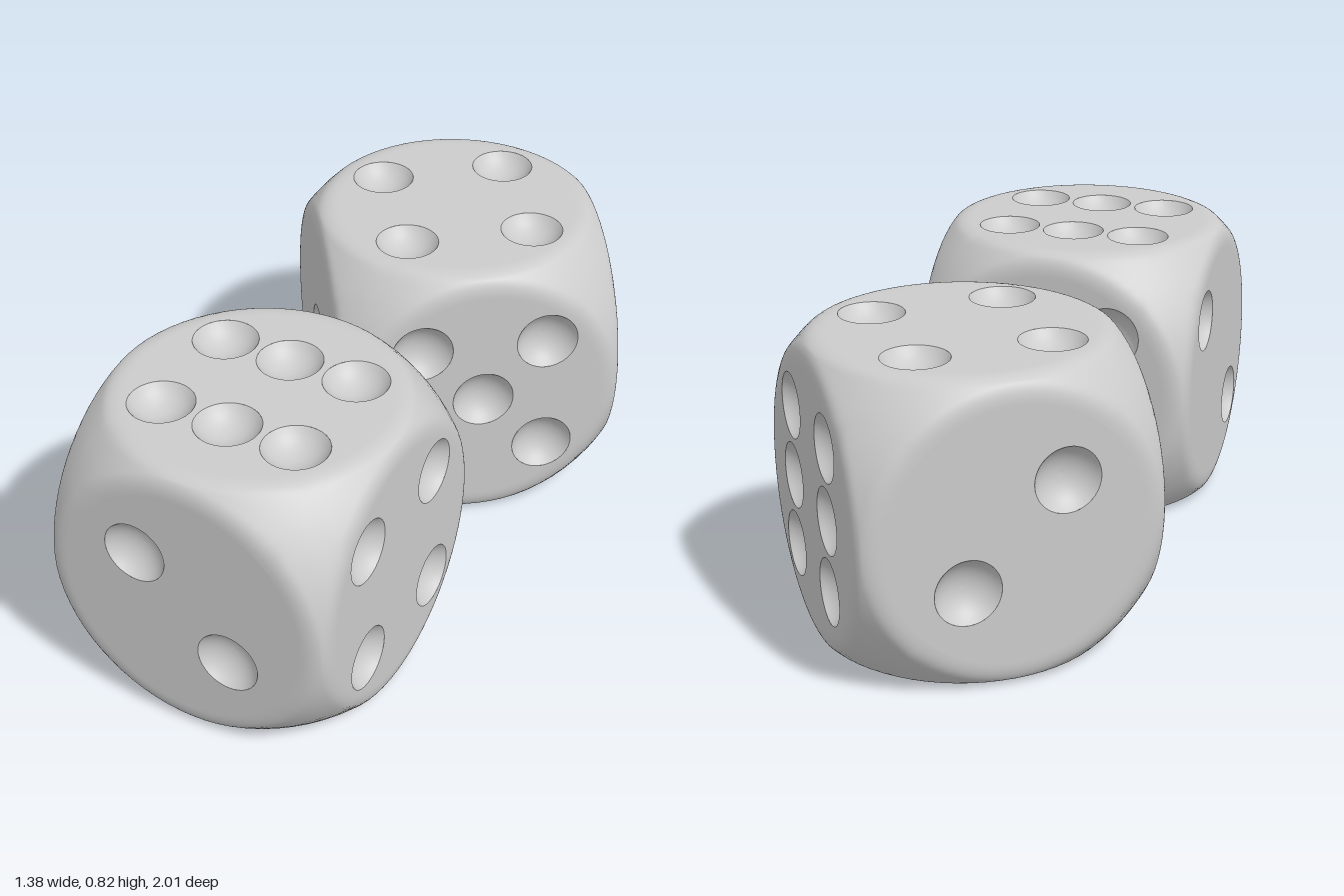
import * as THREE from 'three';
import { mergeGeometries, mergeVertices } from 'three/addons/utils/BufferGeometryUtils.js';

const HALF = 0.41;      // half the width of a die
const ROUND = 0.56;     // radius of the ball that trims the corners
const BLEND = 0.025;    // softness between faces and trimmed corners
const DISC = 0.343;     // radius of the perfectly flat part of a face
const PIP = 0.088;      // pip radius
const PIP_DEPTH = 0.05;
const SEG = 64;

// Turns that carry the +z face to each side, with its pips as [right, up]
const S = 0.18;
const corners = [[-S, S], [S, S], [-S, -S], [S, -S]];
const faces = [
  { name: 'two', turn: [0, 0], pips: [[-0.13, 0.13], [0.13, -0.13]] },
  { name: 'five', turn: [0, Math.PI], pips: [...corners, [0, 0]] },
  { name: 'four', turn: [0, Math.PI / 2], pips: corners },
  { name: 'diagonal', turn: [0, -Math.PI / 2], pips: [[-S, S], [S, -S]] },
  {
    name: 'six', turn: [-Math.PI / 2, 0],
    pips: [-0.195, 0, 0.195].flatMap((u) => [[u, 0.155], [u, -0.155]]),
  },
  { name: 'one', turn: [Math.PI / 2, 0], pips: [[0, 0]] },
];

// Smooth minimum of two distances
function softMin(a, b) {
  const h = Math.max(BLEND - Math.abs(a - b), 0) / BLEND;
  return Math.min(a, b) - h * h * BLEND * 0.25;
}

// Rounded border of one face, from the flat disc out to the cube edges
function borderGeometry() {
  const geo = new THREE.PlaneGeometry(1, 1, SEG, 14);
  const pos = geo.attributes.position;
  const p = new THREE.Vector3();
  for (let i = 0; i < pos.count; i++) {
    const angle = (pos.getX(i) + 0.5) * Math.PI * 2;
    const t = 0.5 - pos.getY(i);
    const c = Math.cos(angle), s = Math.sin(angle);
    const edge = HALF / Math.max(Math.abs(c), Math.abs(s));
    const r = THREE.MathUtils.lerp(DISC, edge, t);
    p.set(c * r, s * r, HALF);
    p.setLength(softMin(p.length(), ROUND));
    pos.setXYZ(i, p.x, p.y, p.z);
  }
  geo.deleteAttribute('normal');
  geo.deleteAttribute('uv');
  return geo;
}

// Flat disc of a face with a round hole for each pip
function discGeometry(pips) {
  const shape = new THREE.Shape().absarc(0, 0, DISC, 0, Math.PI * 2, false);
  for (const [u, v] of pips) {
    shape.holes.push(new THREE.Path().absarc(u, v, PIP, 0, Math.PI * 2, true));
  }
  return new THREE.ShapeGeometry(shape, SEG).translate(0, 0, HALF);
}

// Hollow bowl of a pip, opening towards +z
function bowlGeometry() {
  const R = (PIP * PIP + PIP_DEPTH * PIP_DEPTH) / (2 * PIP_DEPTH);
  const max = Math.asin(PIP / R);
  const points = [];
  for (let i = 0; i <= 8; i++) {
    const a = max * (1 - i / 8);
    points.push(new THREE.Vector2(R * Math.sin(a), R - PIP_DEPTH - R * Math.cos(a)));
  }
  return new THREE.LatheGeometry(points, SEG).rotateX(Math.PI / 2);
}

function createDie(material) {
  const die = new THREE.Group();
  const add = (parent, geo, name) => {
    const mesh = new THREE.Mesh(geo, material);
    mesh.name = name;
    parent.add(mesh);
    return mesh;
  };

  // Rounded edges and corners, joined into one smooth surface
  const borders = faces.map(({ turn }) => borderGeometry().rotateX(turn[0]).rotateY(turn[1]));
  const shell = mergeVertices(mergeGeometries(borders), 1e-4);
  shell.computeVertexNormals();
  add(die, shell, 'roundedEdges');

  // Flat faces with their pips
  const bowl = bowlGeometry();
  for (const { name, turn, pips } of faces) {
    const face = new THREE.Group();
    face.name = name + 'Face';
    face.rotation.set(turn[0], turn[1], 0);
    add(face, discGeometry(pips), 'flatFace');
    for (const [u, v] of pips) add(face, bowl, 'pip').position.set(u, v, HALF);
    die.add(face);
  }
  return die;
}

export function createModel() {
  const model = new THREE.Group();
  model.name = 'pairOfDice';
  const material = new THREE.MeshStandardMaterial({ color: 0xcccccc });

  // Front die, six up
  const front = createDie(material);
  front.name = 'frontDie';
  front.position.set(-0.187, HALF, 0.499);
  front.rotation.y = THREE.MathUtils.degToRad(-18.7);

  // Back die, rolled over so four is up
  const back = new THREE.Group();
  back.name = 'backDie';
  const rolled = createDie(material);
  rolled.name = 'rolledDie';
  rolled.quaternion.setFromAxisAngle(new THREE.Vector3(1, 1, 0).normalize(), Math.PI);
  back.add(rolled);
  back.position.set(0.183, HALF, -0.494);
  back.rotation.y = THREE.MathUtils.degToRad(20);

  model.add(front, back);
  return model;
}
